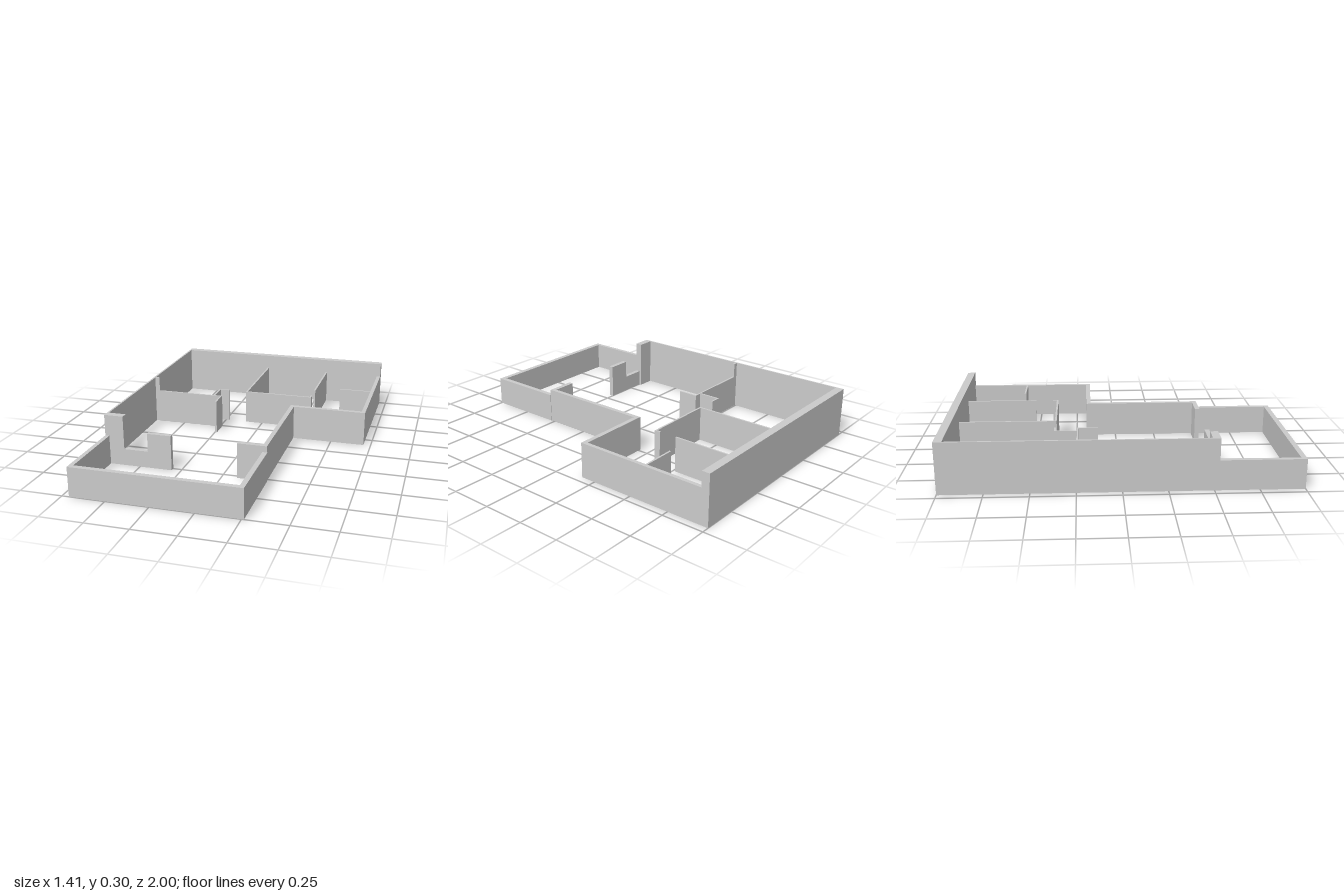
import * as THREE from 'three';

const TALL = 0.3, ROOM = 0.21, TERRACE = 0.174, SILL = 0.1;

// name, x from/to, z from/to, height; every wall stands on the ground
const WALLS = [
  // outer shell
  ['backWall', -0.708, 0.706, -1, -0.953, TALL],
  ['leftWall', -0.708, -0.697, -0.953, 0.525, TALL],
  ['rightWall', 0.683, 0.706, -0.953, -0.16, ROOM],
  ['recessWall', 0.234, 0.683, -0.187, -0.16, ROOM],
  ['recessSideWall', 0.234, 0.26, -0.16, 0.525, ROOM],
  // front wall with window and wide opening
  ['frontCornerPier', -0.697, -0.593, 0.482, 0.525, TALL],
  ['windowSill', -0.593, -0.447, 0.497, 0.525, SILL],
  ['frontPier', -0.447, -0.304, 0.497, 0.525, ROOM],
  ['frontRightPier', 0.088, 0.234, 0.497, 0.525, ROOM],
  // low terrace enclosure
  ['terraceLeftWall', -0.708, -0.683, 0.525, 0.97, TERRACE],
  ['terraceRightWall', 0.234, 0.263, 0.525, 0.97, TERRACE],
  ['terraceFrontWall', -0.708, 0.263, 0.97, 1, TERRACE],
  // left partitions
  ['partitionPost', -0.697, -0.668, -0.246, -0.235, TALL],
  ['leftPartition', -0.668, -0.238, -0.246, -0.235, ROOM],
  ['partitionReturn', -0.249, -0.238, -0.235, -0.123, ROOM],
  ['nicheSide', -0.296, -0.285, -0.368, -0.246, ROOM],
  ['nicheBack', -0.296, -0.226, -0.379, -0.368, ROOM],
  // middle room
  ['middleRoomLeft', -0.111, -0.1, -0.953, -0.379, ROOM],
  ['middleRoomFront', -0.111, 0.328, -0.379, -0.368, ROOM],
  ['middleRoomRight', 0.317, 0.328, -0.953, -0.513, ROOM],
  ['doorJamb', 0.317, 0.328, -0.405, -0.379, ROOM],
  // right room divider
  ['rightDivider', 0.481, 0.683, -0.6, -0.589, ROOM],
];

export function createModel() {
  const house = new THREE.Group();
  house.name = 'floorPlanWalls';
  const material = new THREE.MeshStandardMaterial({ color: 0xcccccc });
  for (const [name, x0, x1, z0, z1, height] of WALLS) {
    const wall = new THREE.Mesh(new THREE.BoxGeometry(x1 - x0, height, z1 - z0), material);
    wall.position.set((x0 + x1) / 2, height / 2, (z0 + z1) / 2);
    wall.name = name;
    house.add(wall);
  }
  return house;
}
